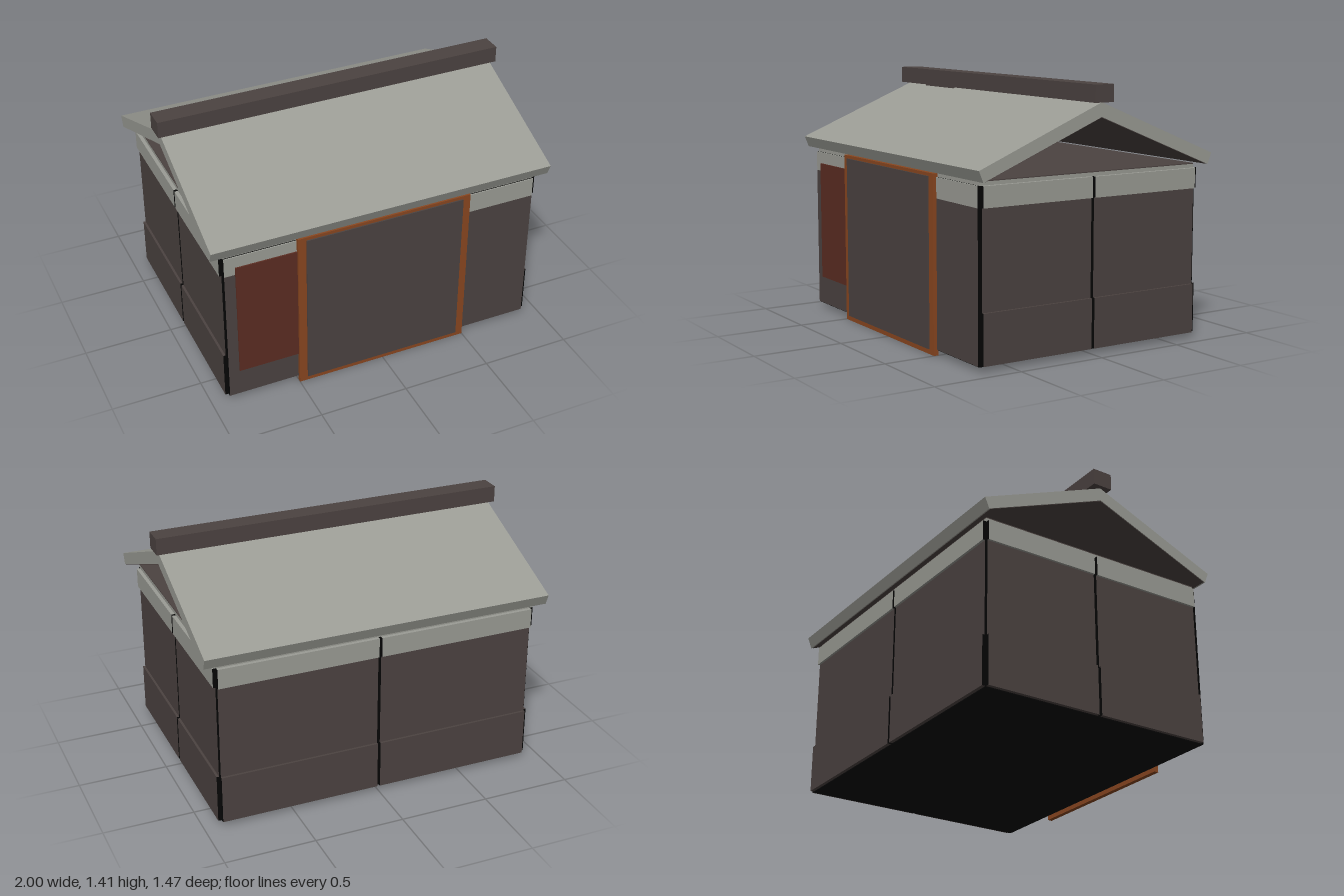
import * as THREE from 'three';

const mat = (name, color) => {
  const m = new THREE.MeshStandardMaterial({ color });
  m.name = name;
  return m;
};

export function createModel() {
  const brown = mat('darkBrown', 0x4c4341);
  const grey = mat('roofGrey', 0x9b9c95);
  const black = mat('black', 0x050505);
  const orange = mat('rustOrange', 0x8a4720);
  const red = mat('rustRed', 0x5c2d22);
  const group = new THREE.Group();

  const add = (name, geometry, material, parent = group) => {
    const mesh = new THREE.Mesh(geometry, material);
    mesh.name = name;
    parent.add(mesh);
    return mesh;
  };
  // Box given by its limits on each axis
  const box = (name, material, x0, x1, y0, y1, z0, z1, parent = group) => {
    const mesh = add(name, new THREE.BoxGeometry(x1 - x0, y1 - y0, z1 - z0), material, parent);
    mesh.position.set((x0 + x1) / 2, (y0 + y1) / 2, (z0 + z1) / 2);
    return mesh;
  };

  // Black core shows at the corners, in the panel gaps and underneath
  box('core', black, -0.9, 0.9, 0.025, 0.935, -0.675, 0.685);
  box('wallPlate', grey, -0.9, 0.9, 0.935, 0.955, -0.675, 0.68);
  box('ceiling', brown, -0.9, 0.9, 0.955, 0.96, -0.675, 0.68);

  // Two wall bays per side, each with plinth, panel and frieze; black end faces
  const rows = [
    ['plinth', 0.03, 0.3, 0.02, brown],
    ['wallPanel', 0.3, 0.825, 0.007, brown],
    ['frieze', 0.825, 0.935, 0.02, grey],
  ];
  const wall = (name, halfWidth, distance, angle, flat) => {
    const side = new THREE.Group();
    side.name = name;
    side.rotation.y = angle;
    for (const s of [-1, 1]) {
      for (const [part, y0, y1, depth, colour] of rows) {
        const a = s * 0.008, b = s * halfWidth;
        const faces = [black, black, colour, colour, colour, colour];
        box(part, faces, Math.min(a, b), Math.max(a, b), y0, y1,
          distance, distance + (flat ? 0.007 : depth), side);
      }
    }
    group.add(side);
  };
  wall('frontWall', 0.9, 0.685, 0, true);
  wall('backWall', 0.9, 0.675, Math.PI, false);
  wall('leftWall', 0.672, 0.9, Math.PI / 2, false);
  wall('rightWall', 0.672, 0.9, -Math.PI / 2, false);

  // Sliding door in its frame, with the red panel beside it
  for (const s of [-1, 1]) {
    box('doorJamb', orange, s * 0.4775 - 0.0225, s * 0.4775 + 0.0225, 0, 0.955, 0.685, 0.712);
  }
  box('doorSill', orange, -0.455, 0.455, 0, 0.028, 0.685, 0.712);
  box('doorHead', orange, -0.455, 0.455, 0.938, 0.955, 0.685, 0.712);
  box('door', brown, -0.455, 0.455, 0.028, 0.938, 0.685, 0.72);
  box('sidePanel', red, -0.84, -0.5, 0.19, 0.87, 0.69, 0.7);

  // Pitched roof, open at both gables, with a brown lining
  const gable = (name, points, length, material) => {
    const shape = new THREE.Shape(points.map(([z, y]) => new THREE.Vector2(z, y)));
    const geometry = new THREE.ExtrudeGeometry(shape, { depth: length, bevelEnabled: false });
    geometry.translate(0, 0, -length / 2).rotateY(Math.PI / 2);
    return add(name, geometry, material);
  };
  gable('roof', [[0, 1.32], [-0.733, 1.02], [-0.708, 0.96], [0, 1.245], [0.708, 0.96], [0.733, 1.02]], 1.956, grey);
  gable('roofLining', [[0, 1.246], [-0.7, 0.964], [-0.7, 0.961], [0, 1.242], [0.7, 0.961], [0.7, 0.964]], 1.95, brown);
  box('ridgeBeam', brown, -1, 1, 1.32, 1.412, -0.057, 0.057);
  box('ridgeSupport', brown, -0.76, -0.44, 1.29, 1.32, -0.025, 0.025);

  return group;
}
